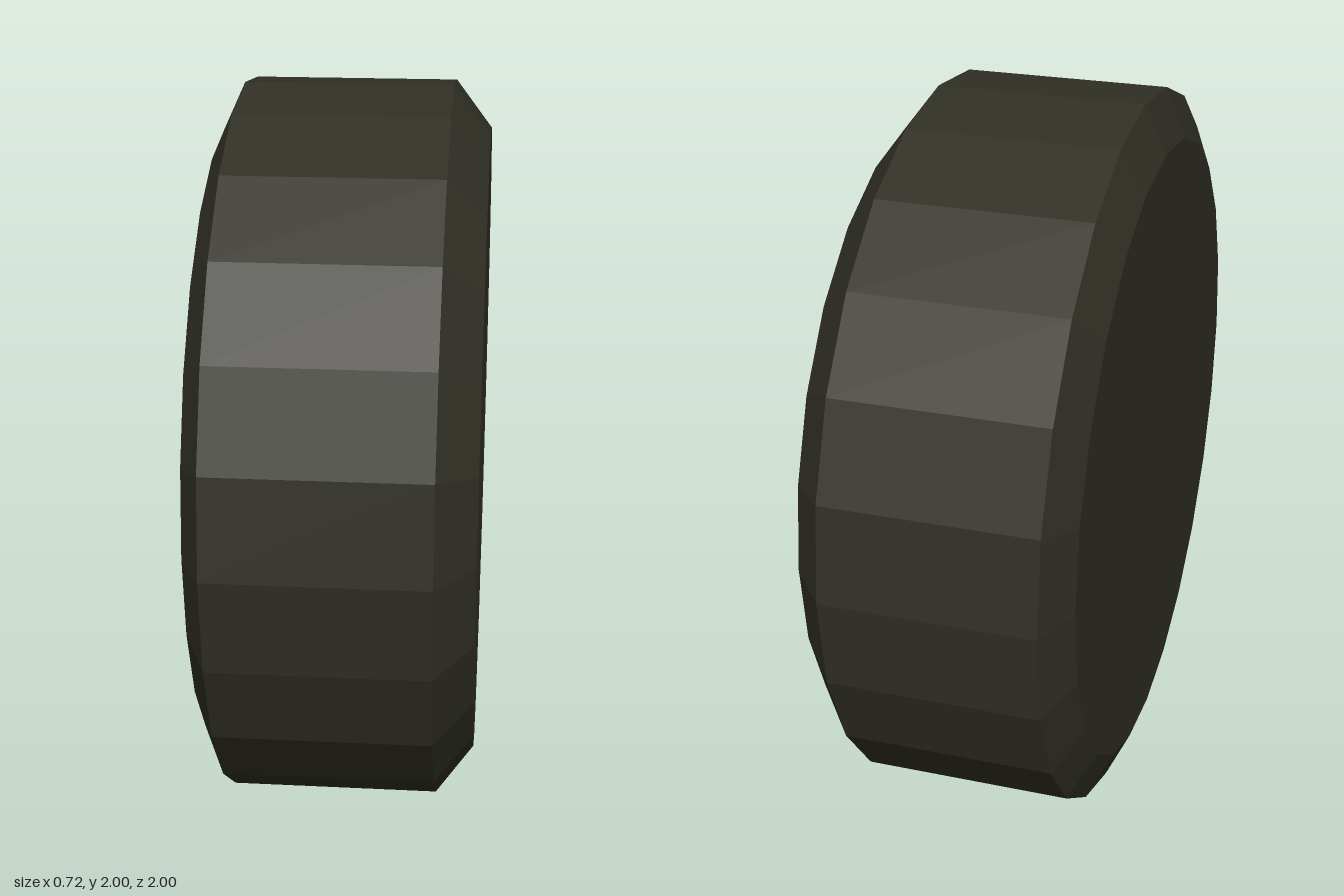
import * as THREE from 'three';

const SIDES = 24;

// Turns a [radius, x] profile around the x axis.
function turned(name, profile, material) {
  const geometry = new THREE.LatheGeometry(
    profile.map(([radius, x]) => new THREE.Vector2(radius, x)), SIDES);
  geometry.rotateZ(-Math.PI / 2);
  const mesh = new THREE.Mesh(geometry, material);
  mesh.name = name;
  return mesh;
}

export function createModel() {
  const rubber = new THREE.MeshStandardMaterial({ color: 0x313026 });
  rubber.name = 'darkRubber';
  rubber.flatShading = true;

  const wheel = new THREE.Group();
  wheel.name = 'wheel';
  wheel.position.y = 1;

  wheel.add(
    // Flat inner face on the -x side
    turned('backFace', [[0, -0.36], [0.87, -0.36]], rubber),
    // Tread with a bevel on each shoulder
    turned('tread', [[0.87, -0.36], [1, -0.3], [1, 0.26], [0.87, 0.36]], rubber),
    // Slightly dished outer sidewall
    turned('sidewall', [[0.87, 0.36], [0.5, 0.32]], rubber),
    // Recessed hub
    turned('hub', [[0.5, 0.32], [0.455, 0.27], [0, 0.27]], rubber),
  );

  const model = new THREE.Group();
  model.name = 'wheelModel';
  model.add(wheel);
  return model;
}
